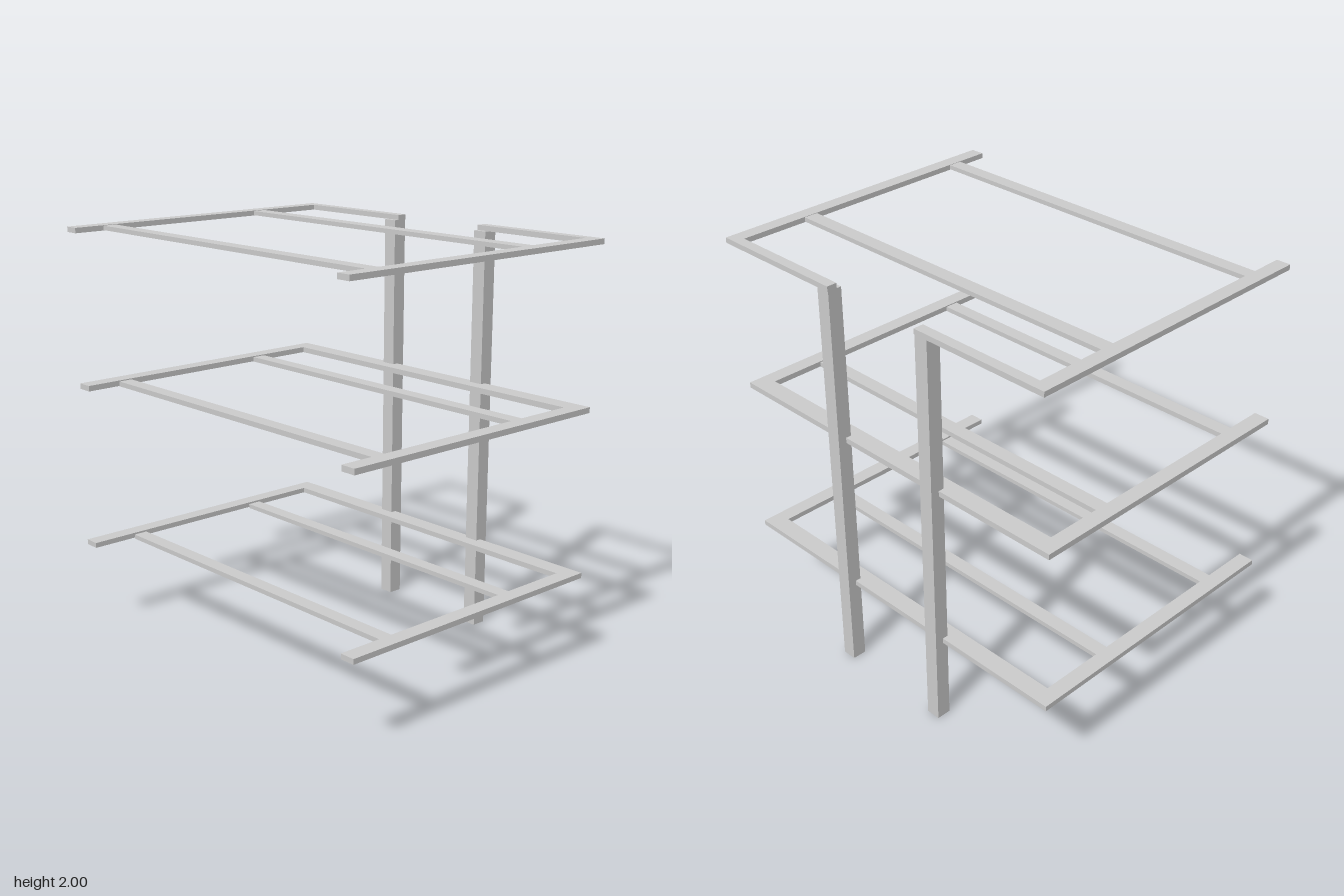
import * as THREE from 'three';

const material = new THREE.MeshStandardMaterial({ color: 0xcccccc, flatShading: true });

// Box given by its extents along each axis
function bar(parent, name, [x0, x1], [y0, y1], [z0, z1]) {
  const mesh = new THREE.Mesh(new THREE.BoxGeometry(x1 - x0, y1 - y0, z1 - z0), material);
  mesh.position.set((x0 + x1) / 2, (y0 + y1) / 2, (z0 + z1) / 2);
  mesh.name = name;
  parent.add(mesh);
}

// Same box on the left (+x) and the right (-x)
function pair(parent, name, [x0, x1], y, z) {
  bar(parent, name + 'Left', [x0, x1], y, z);
  bar(parent, name + 'Right', [-x1, -x0], y, z);
}

export function createModel() {
  const model = new THREE.Group();
  model.name = 'shelfFrame';

  // Two uprights at the back
  pair(model, 'post', [0.265, 0.335], [0, 1.976], [-0.762, -0.692]);

  // Shelf frames: side arms, back rail and two cross rails each
  const shelves = [
    { name: 'lowerShelf', y: [0.425, 0.45], z: [-0.72, 0.73], rails: [[-0.31, -0.24], [0.43, 0.5]], railY: [0.419, 0.441] },
    { name: 'middleShelf', y: [1.218, 1.245], z: [-0.72, 0.73], rails: [[-0.355, -0.285], [0.485, 0.555]], railY: [1.216, 1.24] },
    { name: 'topShelf', y: [1.975, 2], z: [-0.765, 0.76], rails: [[-0.375, -0.305], [0.537, 0.605]], railY: [1.977, 1.998] },
  ];
  for (const s of shelves) {
    const shelf = new THREE.Group();
    shelf.name = s.name;
    const top = s.name === 'topShelf';
    const inner = top ? 0.9 : 0.893;
    pair(shelf, 'sideArm', [inner, 0.968], s.y, s.z);
    // The top back rail is split, ending on the posts
    if (top) pair(shelf, 'backRail', [0.265, inner], s.y, [-0.765, -0.715]);
    else bar(shelf, 'backRail', [-inner, inner], s.y, [-0.72, -0.63]);
    s.rails.forEach((z, i) =>
      bar(shelf, i ? 'frontCrossRail' : 'rearCrossRail', [-inner, inner], s.railY, z));
    model.add(shelf);
  }
  return model;
}
